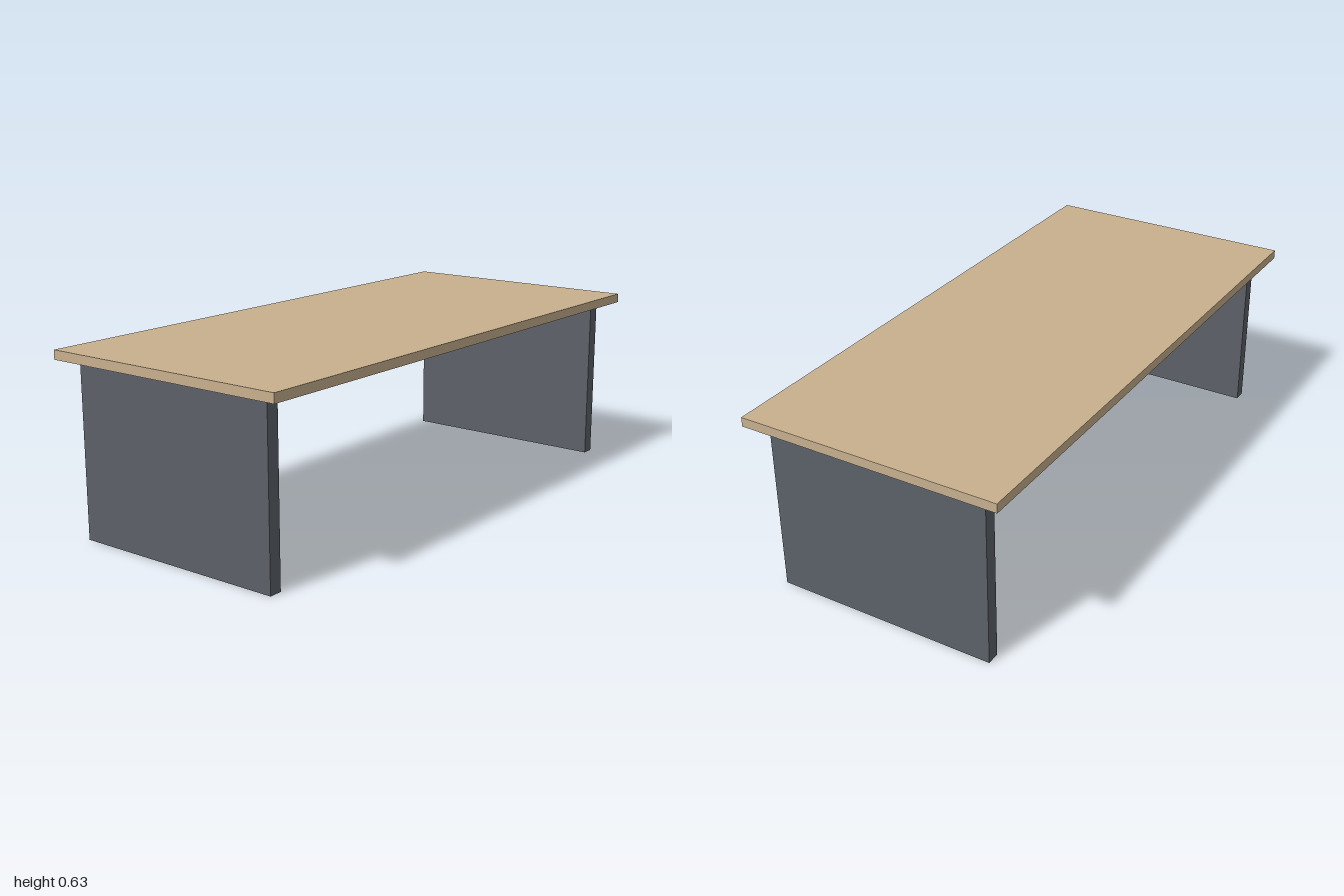
import * as THREE from 'three';

export function createModel() {
  const model = new THREE.Group();
  model.name = 'desk';

  const wood = new THREE.MeshStandardMaterial({ color: 0xc8b08e });
  wood.name = 'light wood';
  const metal = new THREE.MeshStandardMaterial({ color: 0x5c6168 });
  metal.name = 'slate grey';

  const addBox = (name, material, size, position) => {
    const mesh = new THREE.Mesh(new THREE.BoxGeometry(...size), material);
    mesh.name = name;
    mesh.position.set(...position);
    model.add(mesh);
  };

  const height = 0.627, topThickness = 0.032;
  const legHeight = height - topThickness;

  // Overhanging top board
  addBox('tabletop', wood, [2, topThickness, 0.915], [0, height - topThickness / 2, 0]);

  // Solid panel legs, one near each end
  for (const [name, side] of [['leftPanelLeg', 1], ['rightPanelLeg', -1]]) {
    addBox(name, metal, [0.045, legHeight, 0.78], [side * 0.932, legHeight / 2, 0]);
  }

  return model;
}
